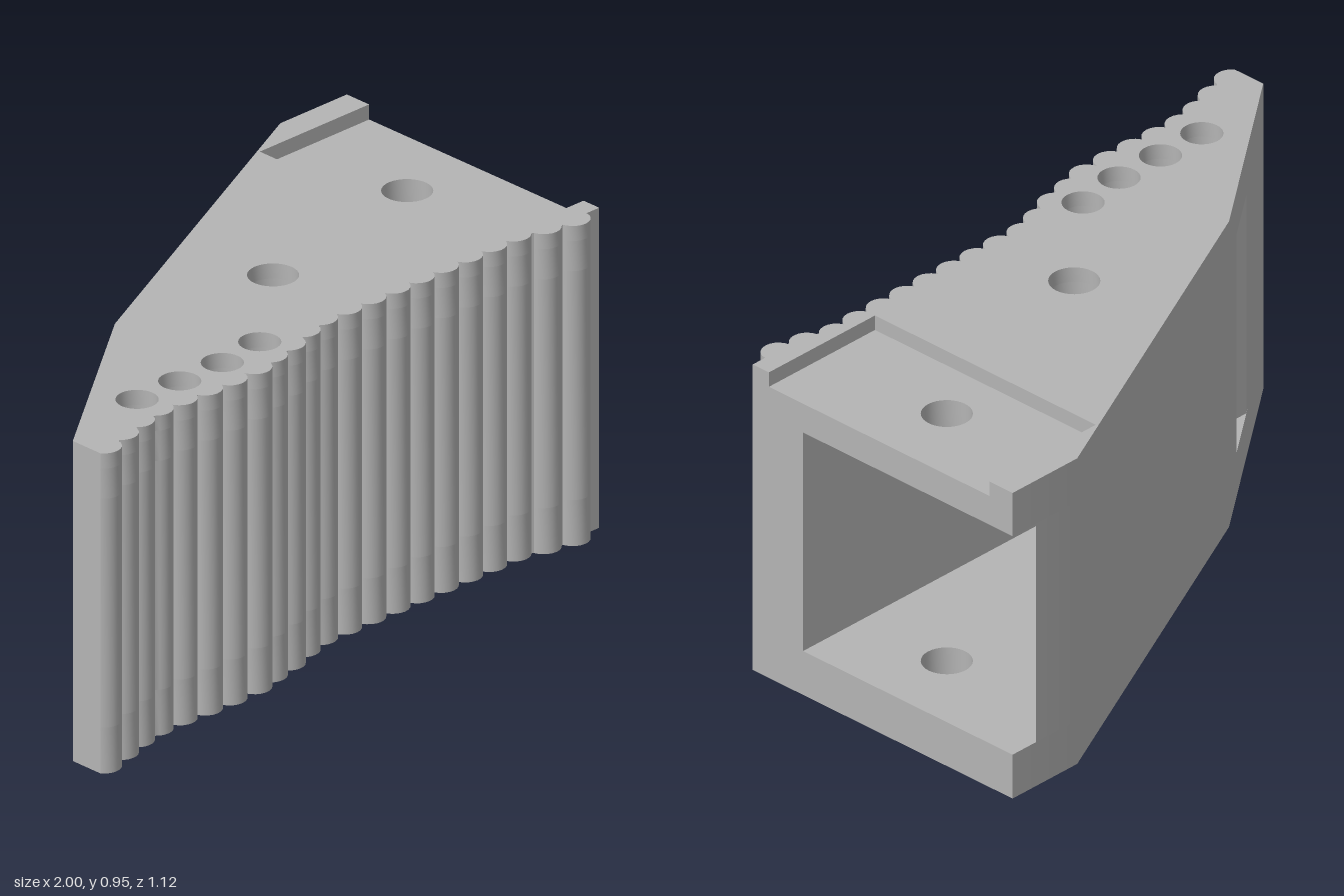
import * as THREE from 'three';
import { toCreasedNormals } from 'three/addons/utils/BufferGeometryUtils.js';

// Rounded grip ribs along the front: [centre x, frontmost z]
const RIBS = [
  [-0.96, 0.557], [-0.87, 0.53], [-0.785, 0.505], [-0.70, 0.49], [-0.61, 0.49], [-0.52, 0.495],
  [-0.43, 0.497], [-0.335, 0.495], [-0.255, 0.473], [-0.17, 0.455], [-0.085, 0.425], [0, 0.405],
];
for (let i = 1; i <= 8; i++) RIBS.push([i * 0.0907, 0.405]);
RIBS.push([0.815, 0.43], [0.905, 0.449]);
const RIB_RADIUS = 0.048;

// Front edge z at a given x: the outermost of all rib circles
function frontZ(x) {
  let best = 0.365;
  for (const [cx, z] of RIBS) {
    const d = RIB_RADIUS ** 2 - (x - cx) ** 2;
    if (d > 0) best = Math.max(best, z - RIB_RADIUS + Math.sqrt(d));
  }
  return best;
}

// Ribbed front edge as [x, z] points, from the left end to the right end
function ribbedEdge() {
  const points = [];
  RIBS.forEach(([cx], i) => {
    const a = i === 0 ? -1 : (RIBS[i - 1][0] + cx) / 2;
    const b = i === RIBS.length - 1 ? 0.95 : (cx + RIBS[i + 1][0]) / 2;
    for (let k = i === 0 ? 0 : 1; k <= 10; k++) {
      const x = (a + b) / 2 - ((b - a) / 2) * Math.cos((Math.PI * k) / 10);
      points.push([x, frontZ(x)]);
    }
  });
  points.push([0.952, 0.405], [1, 0.405]);
  return points;
}

// Upright slab from a plan outline in [x, z], with round holes [x, z, radius]
function slab(name, outline, holes, y0, y1, material) {
  const shape = new THREE.Shape(outline.map(([x, z]) => new THREE.Vector2(x, -z)));
  for (const [x, z, r] of holes) {
    const path = new THREE.Path();
    path.absarc(x, -z, r, 0, Math.PI * 2, true);
    shape.holes.push(path);
  }
  let geometry = new THREE.ExtrudeGeometry(shape, { depth: y1 - y0, bevelEnabled: false, curveSegments: 16 });
  geometry.rotateX(-Math.PI / 2);
  geometry.translate(0, y0, 0);
  geometry = toCreasedNormals(geometry, 0.6);
  const mesh = new THREE.Mesh(geometry, material);
  mesh.name = name;
  return mesh;
}

export function createModel() {
  const group = new THREE.Group();
  group.name = 'ribbedWedgeBlock';
  const grey = new THREE.MeshStandardMaterial({ color: 0xb4b4b4 });
  grey.name = 'grey';

  const front = ribbedEdge();
  const back = [[0.75, -0.56], [-0.42, 0], [-1, 0.43]];
  const outline = [...front, [1, -0.56], ...back];

  // Small holes run through the front wall, large ones through floor and roof
  const smallHoles = [[-0.70, 0.37], [-0.54, 0.37], [-0.38, 0.37], [-0.22, 0.35]].map(([x, z]) => [x, z, 0.058]);
  const middleHole = [0.09, 0.085, 0.07];
  const endHole = [0.77, -0.095, 0.07];
  const allHoles = [...smallHoles, middleHole, endHole];

  // Floor and roof
  group.add(slab('floor', outline, allHoles, 0, 0.137, grey));
  group.add(slab('roof', outline, allHoles, 0.82, 0.91, grey));

  // Roof top layer with a recess that opens to the end
  const recessed = [...front, [1, 0.345], [0.59, 0.345], [0.59, -0.475], [1, -0.475], [1, -0.56], ...back];
  group.add(slab('roofTop', recessed, [...smallHoles, middleHole], 0.91, 0.955, grey));

  // Walls around the hollow, leaving the end opening and the back window
  group.add(slab('frontWall', [...front, [1, 0.218], [-0.714, 0.218], [-1, 0.43]], smallHoles, 0.137, 0.82, grey));
  group.add(slab('backWall', [[-0.45, 0.092], [0.91, -0.56], [0.75, -0.56], [-0.42, 0], [-0.544, 0.092]], [], 0.137, 0.82, grey));

  return group;
}
